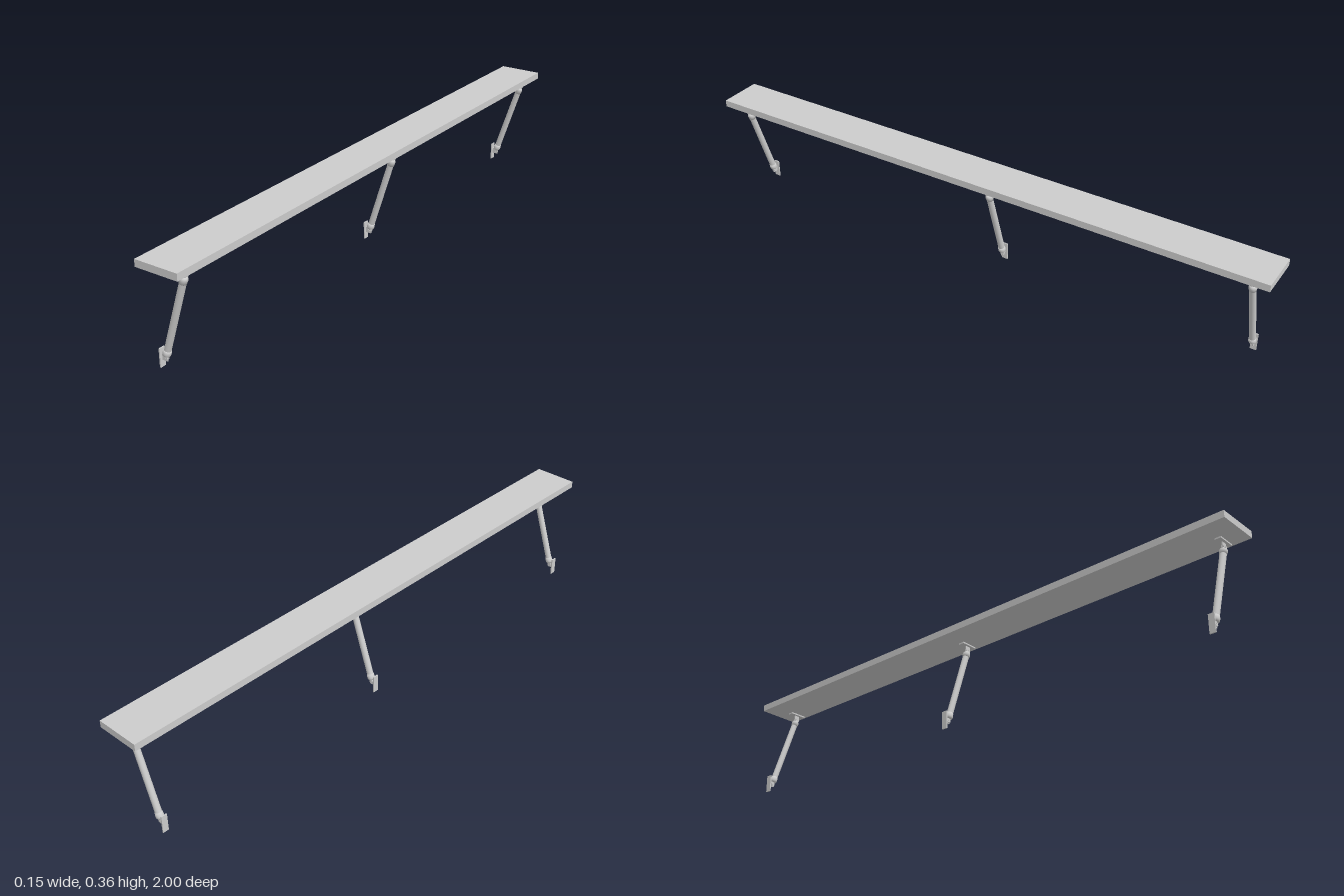
import * as THREE from 'three';

const grey = new THREE.MeshStandardMaterial({ color: 0xcccccc });

function add(parent, name, geometry, x = 0, y = 0, z = 0) {
  const mesh = new THREE.Mesh(geometry, grey);
  mesh.name = name;
  mesh.position.set(x, y, z);
  parent.add(mesh);
  return mesh;
}

// Pivots of the slanted strut, in the plane of each support
const low = new THREE.Vector2(-0.058, 0.032);
const high = new THREE.Vector2(0.034, 0.314);
const length = low.distanceTo(high);

// Rounded end cap, measured along the strut from its pivot
function capGeometry() {
  const points = [[0, 0.004], [0.005, 0.004], [0.005, 0.007]];
  for (let i = 0; i <= 6; i++) {
    const a = (i / 6) * Math.PI / 2;
    points.push([0.006 + 0.0065 * Math.sin(a), 0.016 - 0.009 * Math.cos(a)]);
  }
  points.push([0.0125, 0.019], [0.0112, 0.029], [0, 0.029]);
  return new THREE.LatheGeometry(points.map(p => new THREE.Vector2(...p)), 24);
}

// Two-tined eye that straddles a lug, with the pin through it
function addEye(parent, y) {
  for (const side of [-1, 1]) {
    add(parent, 'eyeTine', new THREE.CylinderGeometry(0.008, 0.008, 0.003, 24), 0, y, side * 0.0035)
      .rotation.x = Math.PI / 2;
  }
  add(parent, 'pivotPin', new THREE.CylinderGeometry(0.003, 0.003, 0.012, 16), 0, y, 0)
    .rotation.x = Math.PI / 2;
}

function createSupport(z) {
  const support = new THREE.Group();
  support.name = 'support';
  support.position.z = z;

  // Wall plate and shelf plate, each with a thin lug
  add(support, 'wallPlate', new THREE.BoxGeometry(0.004, 0.06, 0.02), -0.0725, 0.03, 0);
  add(support, 'wallLug', new THREE.BoxGeometry(0.02, 0.02, 0.004), -0.0615, 0.032, 0);
  add(support, 'shelfPlate', new THREE.BoxGeometry(0.06, 0.005, 0.02), 0.034, 0.3325, 0);
  add(support, 'shelfLug', new THREE.BoxGeometry(0.019, 0.021, 0.004), 0.035, 0.3205, 0);

  // Strut built upright from the lower pivot, then tilted
  const strut = new THREE.Group();
  strut.name = 'strut';
  strut.position.set(low.x, low.y, 0);
  strut.rotation.z = -Math.atan2(high.x - low.x, high.y - low.y);
  support.add(strut);
  add(strut, 'tube', new THREE.CylinderGeometry(0.0105, 0.0105, length - 0.04, 24), 0, length / 2, 0);
  add(strut, 'lowerCap', capGeometry());
  add(strut, 'upperCap', capGeometry(), 0, length, 0).rotation.x = Math.PI;
  addEye(strut, 0);
  addEye(strut, length);
  return support;
}

export function createModel() {
  const model = new THREE.Group();
  model.name = 'bracketShelf';
  add(model, 'shelfBoard', new THREE.BoxGeometry(0.149, 0.023, 2), 0, 0.3465, 0);
  for (const z of [0.93, -0.058, -0.937]) model.add(createSupport(z));
  return model;
}
